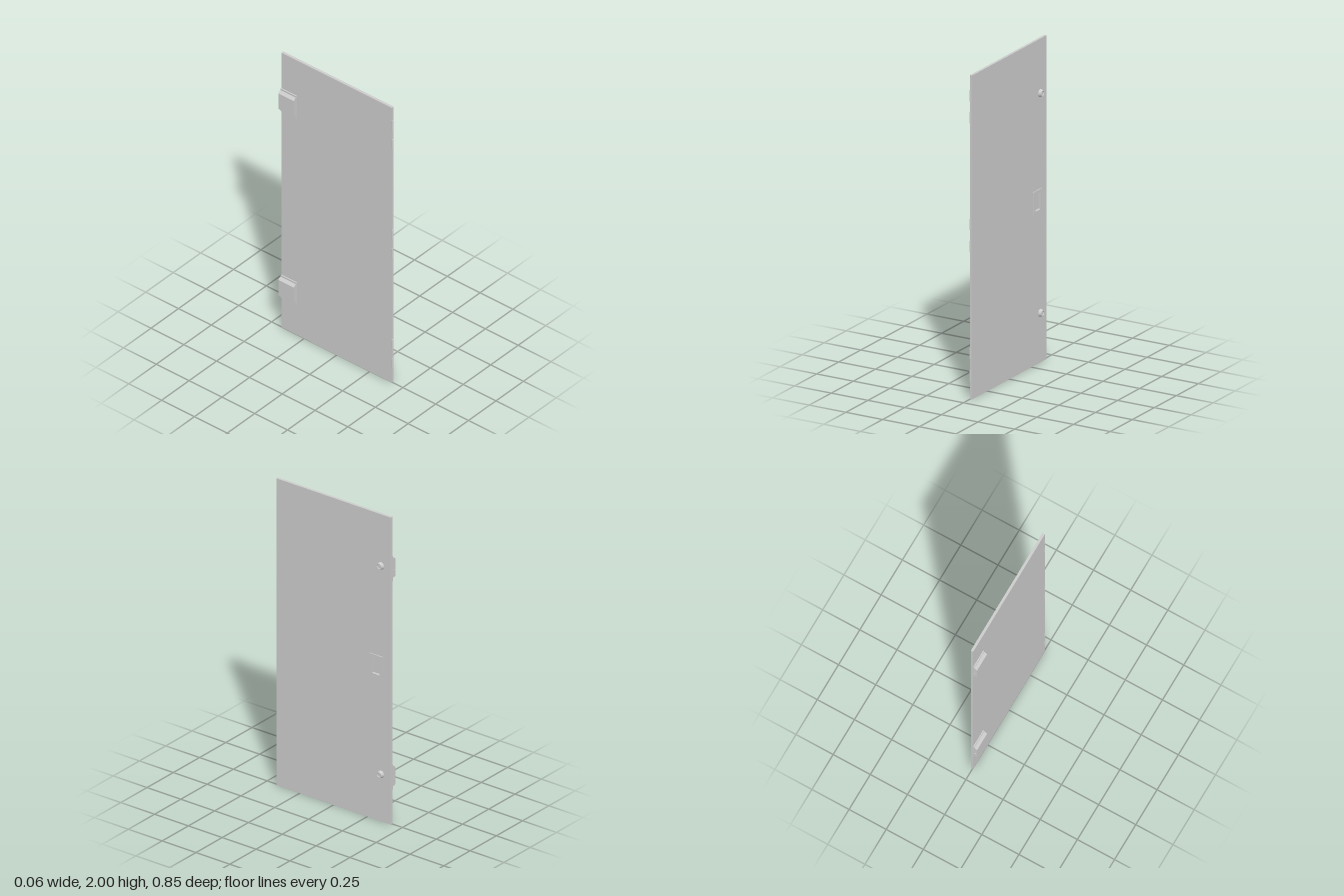
import * as THREE from 'three';

const grey = new THREE.MeshStandardMaterial({ color: 0xcccccc, side: THREE.DoubleSide });

function add(parent, name, geometry, x = 0, y = 0, z = 0) {
  const mesh = new THREE.Mesh(geometry, grey);
  mesh.name = name;
  mesh.position.set(x, y, z);
  parent.add(mesh);
  return mesh;
}

// Rectangle outline in the (-z, y) plane
function rect(Type, z0, z1, y0, y1) {
  const r = new Type();
  r.moveTo(-z1, y0);
  r.lineTo(-z0, y0);
  r.lineTo(-z0, y1);
  r.lineTo(-z1, y1);
  r.closePath();
  return r;
}

// Outline with a rectangular opening, extruded along +x
function pierced(outer, hole, depth) {
  outer.holes.push(hole);
  return new THREE.ExtrudeGeometry(outer, { depth, bevelEnabled: false }).rotateY(Math.PI / 2);
}

function createLock(y) {
  const lock = new THREE.Group();
  lock.name = 'lock';
  lock.position.y = y;

  // Mounting flange on the rear face
  add(lock, 'lockFlange', new THREE.BoxGeometry(0.007, 0.164, 0.119), -0.0075, -0.005, -0.3635);

  // Case with sloped top, profile in the (x, y) plane
  const profile = new THREE.Shape([
    [-0.01, -0.064], [-0.01, 0.066], [-0.016, 0.066], [-0.031, 0.053], [-0.031, -0.06], [-0.027, -0.064],
  ].map(([px, py]) => new THREE.Vector2(px, py)));
  add(lock, 'lockCase', new THREE.ExtrudeGeometry(profile, { depth: 0.118, bevelEnabled: false }), 0, 0, -0.423);

  // Bolt tip out of the closing edge
  add(lock, 'bolt', new THREE.BoxGeometry(0.009, 0.016, 0.02), -0.0185, -0.023, -0.416);

  // Tapered thumb knob with a dished face
  const knob = new THREE.LatheGeometry(
    [[0.024, 0], [0.024, 0.002], [0.018, 0.018], [0.014, 0.018], [0.012, 0.014], [0, 0.014]]
      .flatMap(([r, h], i) => (i === 0 || i === 5 ? [[r, h]] : [[r, h], [r, h]]))
      .map(([r, h]) => new THREE.Vector2(r, h)), 32);
  knob.rotateZ(-Math.PI / 2);
  add(lock, 'knob', knob, 0.012, 0, -0.35);
  return lock;
}

export function createModel() {
  const door = new THREE.Group();
  door.name = 'door';

  // Door leaf with a pocket cut for the pull
  const leaf = rect(THREE.Shape, -0.422, 0.42, 0, 2);
  add(door, 'leaf', pierced(leaf, rect(THREE.Path, -0.346, -0.288, 0.95, 1.055), 0.016), -0.004);

  // Recessed pull: raised frame and pocket floor
  const pull = new THREE.Group();
  pull.name = 'recessedPull';
  const frame = rect(THREE.Shape, -0.365, -0.269, 0.93, 1.075);
  add(pull, 'pullFrame', pierced(frame, rect(THREE.Path, -0.346, -0.288, 0.95, 1.055), 0.006), 0.012);
  add(pull, 'pullFloor', new THREE.BoxGeometry(0.005, 0.105, 0.058), -0.0015, 1.0025, -0.317);
  door.add(pull);

  // Locks near the top and bottom of the closing edge
  for (const y of [1.665, 0.307]) door.add(createLock(y));

  // Three hinges, each with a pair of knuckles
  for (const y of [1.805, 1.01, 0.212]) {
    const hinge = new THREE.Group();
    hinge.name = 'hinge';
    for (const side of [-1, 1]) {
      const knuckle = new THREE.CylinderGeometry(0.004, 0.004, 0.067, 16);
      add(hinge, 'hingeKnuckle', knuckle, -0.002, y + side * 0.068, 0.421);
    }
    door.add(hinge);
  }
  return door;
}
